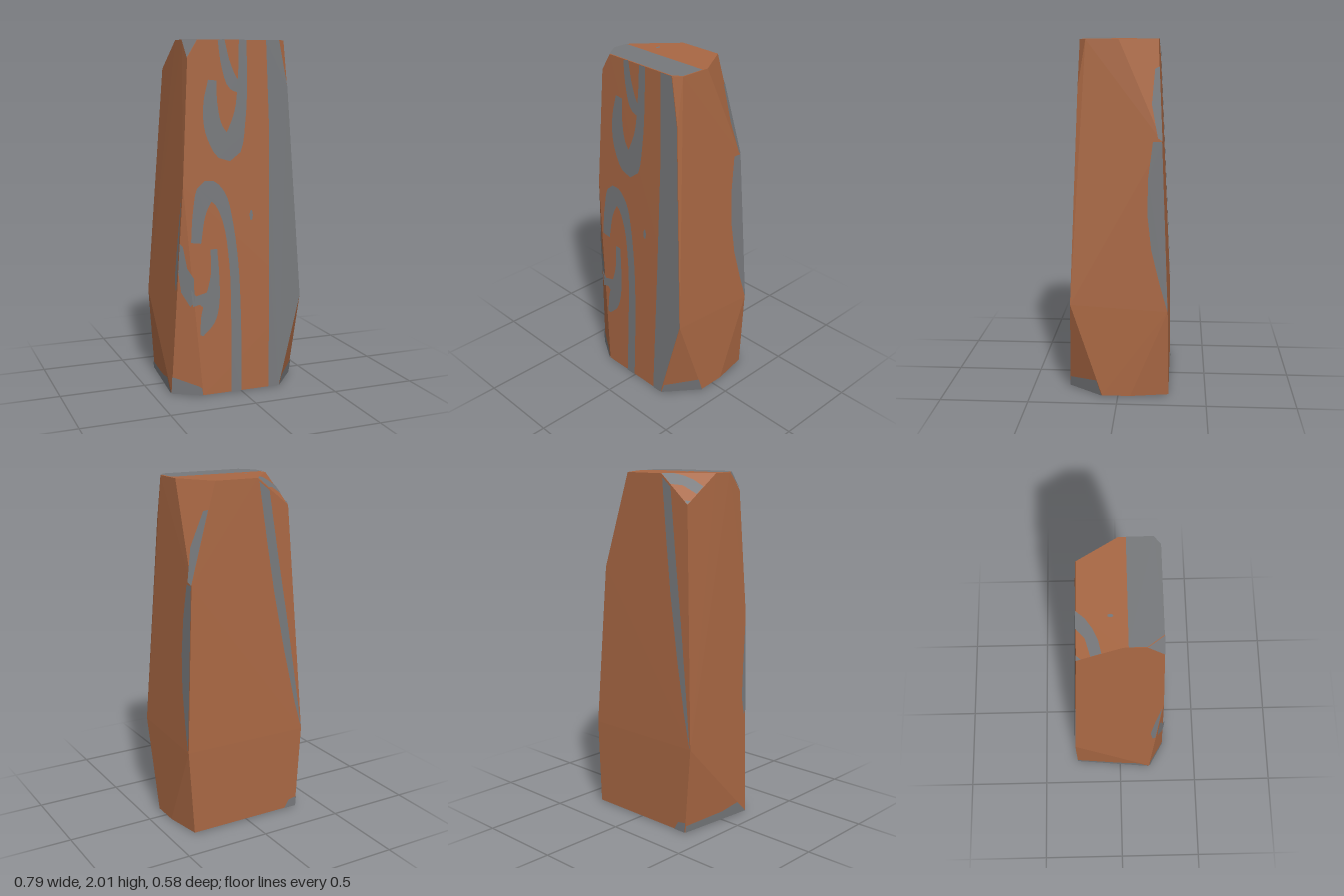
import * as THREE from 'three';
import { ConvexGeometry } from 'three/addons/geometries/ConvexGeometry.js';

const V = (p) => new THREE.Vector3(...p);

// Corner points of the chipped block
const frontZ = (y) => 0.288 - 0.0365 * y;
const P = {
  // top rim
  t1: [-0.1, 2, -0.213], t2: [0.165, 2, -0.213], t3: [0.295, 2, 0], t4: [0.295, 2, 0.18],
  t5: [0.25, 2, 0.215], t6: [-0.235, 2, 0.215], t7: [-0.297, 2, 0.13], t8: [-0.297, 2, 0.015],
  // chipped corners along the four upright edges
  backLeftHigh: [-0.3, 1.84, -0.22], backLeftLow: [-0.385, 0.5, -0.283],
  backRightHigh: [0.33, 1.45, -0.24], backRightLow: [0.38, 0.5, -0.28],
  frontRightHigh: [0.3, 1.74, frontZ(1.74)], frontRightLow: [0.375, 0.53, 0.27],
  frontLeftHigh: [-0.297, 1.9, frontZ(1.9)], frontLeftLow: [-0.335, 1.2, frontZ(1.2)],
  // bottom rim
  b1: [-0.35, 0, -0.288], b2: [0.35, 0, -0.288], b3: [0.39, 0, -0.07], b4: [0.39, 0, 0.09],
  b5: [0.235, 0, 0.288], b6: [-0.235, 0, 0.288], b7: [-0.395, 0, 0.195],
};

// Thin flat patch: the outline gives two coordinates, the third lies on plane abc.
// drop = axis (0 x, 1 y, 2 z) that is solved for.
function patch(outline, drop, a, b, c) {
  const plane = new THREE.Plane().setFromCoplanarPoints(V(a), V(b), V(c));
  if (plane.distanceToPoint(new THREE.Vector3(0, 1, 0)) > 0) plane.negate();
  const n = plane.normal.toArray();
  const [i, j] = [0, 1, 2].filter((k) => k !== drop);
  const pts = outline.map(([u, v]) => {
    const p = [0, 0, 0];
    p[i] = u;
    p[j] = v;
    p[drop] = -(plane.constant + n[i] * u + n[j] * v) / n[drop];
    return V(p).addScaledVector(plane.normal, 0.004);
  });
  const flat = outline.map(([u, v]) => new THREE.Vector2(u, v));
  const verts = [];
  for (const f of THREE.ShapeUtils.triangulateShape(flat, [])) {
    const [p, q, r] = f.map((k) => pts[k]);
    const facing = new THREE.Vector3().crossVectors(q.clone().sub(p), r.clone().sub(p)).dot(plane.normal);
    for (const s of facing > 0 ? [p, q, r] : [p, r, q]) verts.push(s.x, s.y, s.z);
  }
  const g = new THREE.BufferGeometry();
  g.setAttribute('position', new THREE.Float32BufferAttribute(verts, 3));
  g.computeVertexNormals();
  return g;
}

// Outline of a brush stroke through [x, y, width] points
function stroke(points, steps = 28) {
  const curve = new THREE.CatmullRomCurve3(points.map(V));
  const left = [], right = [];
  for (let k = 0; k <= steps; k++) {
    const p = curve.getPoint(k / steps), t = curve.getTangent(k / steps);
    const h = p.z / 2 / Math.hypot(t.x, t.y);
    left.push([p.x - t.y * h, p.y + t.x * h]);
    right.unshift([p.x + t.y * h, p.y - t.x * h]);
  }
  return left.concat(right);
}

const disc = (x, y, rx, ry) => Array.from({ length: 12 }, (_, k) => {
  const a = (k / 12) * Math.PI * 2;
  return [x + rx * Math.cos(a), y + ry * Math.sin(a)];
});

export function createModel() {
  const group = new THREE.Group();
  group.name = 'standingStone';
  const clay = new THREE.MeshStandardMaterial({ name: 'clay brown', color: 0xa86743 });
  const grey = new THREE.MeshStandardMaterial({ name: 'stone grey', color: 0x76787b });
  const add = (name, geometry, material = grey) => {
    const m = new THREE.Mesh(geometry, material);
    m.name = name;
    group.add(m);
  };

  // Faceted body
  add('body', new ConvexGeometry(Object.values(P).map(V)), clay);

  // Front face markings
  const front = (name, outline) => add(name, patch(outline, 2, P.t5, P.t6, P.b5));
  front('frontBand', [[0.17, 0], [0.235, 0], [0.374, 0.53], [0.3, 1.74], [0.25, 2], [0.17, 2], [0.185, 1.5], [0.18, 0.8]]);
  front('upperHook', stroke([[0.028, 2, 0.045], [0.025, 1.8, 0.055], [0.005, 1.58, 0.075], [-0.065, 1.4, 0.14],
    [-0.145, 1.5, 0.11], [-0.168, 1.64, 0.085], [-0.155, 1.78, 0.05]]));
  front('upperSpur', stroke([[-0.1, 2, 0.04], [-0.075, 1.87, 0.055], [-0.03, 1.76, 0.07], [0.01, 1.74, 0.06]], 10));
  front('longCurl', stroke([[-0.033, 0, 0.065], [-0.03, 0.45, 0.06], [-0.04, 0.75, 0.055], [-0.075, 1, 0.06],
    [-0.125, 1.13, 0.09], [-0.19, 1.17, 0.12], [-0.24, 1.06, 0.08], [-0.265, 0.88, 0.06]]));
  front('innerCurl', stroke([[-0.16, 0.84, 0.04], [-0.155, 0.7, 0.05], [-0.175, 0.54, 0.09], [-0.2, 0.44, 0.09], [-0.24, 0.35, 0.02]]));
  front('curlLink', [[-0.3, 0.62], [-0.27, 0.58], [-0.19, 0.6], [-0.19, 0.48], [-0.25, 0.53], [-0.29, 0.52]]);
  front('speck', disc(0.07, 1.02, 0.01, 0.03));

  // Chipped facets at the front corners
  const leftChip = [P.b6, P.b7, P.frontLeftLow];
  add('leftChipFoot', patch([[-0.235, 0], [-0.395, 0], [-0.391, 0.1], [-0.25, 0.05], [-0.24, 0.04]], 2, ...leftChip));
  add('leftChipBlot', patch([[-0.351, 0.88], [-0.335, 0.86], [-0.315, 0.74], [-0.28, 0.68], [-0.28, 0.54], [-0.3, 0.52],
    [-0.345, 0.6], [-0.359, 0.72]], 2, ...leftChip));
  add('rightChipFoot', patch([[0.235, 0], [0.39, 0], [0.388, 0.09], [0.255, 0.06]], 2, P.b5, P.b4, P.frontRightLow));
  add('topLeftChip', patch([P.t6, P.t7, P.frontLeftHigh].map(([x, , z]) => [x, z]), 1, P.t6, P.t7, P.frontLeftHigh));

  // Top face band
  add('topBand', patch([[-0.297, 0.04], [0.295, 0.04], [0.295, 0.18], [0.25, 0.215], [-0.235, 0.215], [-0.297, 0.13]],
    1, P.t4, P.t5, P.t6));
  add('topSpeck', patch(disc(-0.13, -0.045, 0.008, 0.015), 1, P.t4, P.t5, P.t6));

  // Back left corner facet and the streak running on down the back
  const corner = [P.t1, P.t8, P.backLeftHigh];
  add('cornerStreak', patch([[-0.297, -0.09], [-0.298, -0.145], [-0.22, -0.17], [-0.17, -0.216], [-0.1, -0.213],
    [-0.14, -0.167], [-0.19, -0.13], [-0.24, -0.105]], 1, ...corner));
  add('cornerTip', patch([[-0.3, -0.22], [-0.275, -0.219], [-0.3, -0.195]], 1, ...corner));
  const back = [P.backLeftHigh, P.backLeftLow, P.backRightHigh];
  add('backStreak', patch([[-0.11, 1.98], [-0.175, 1.93], [-0.23, 1.55], [-0.285, 1.2], [-0.335, 0.85], [-0.383, 0.5],
    [-0.33, 0.7], [-0.265, 1], [-0.2, 1.35], [-0.155, 1.65]], 2, ...back));
  add('backFoot', patch([[-0.35, 0], [-0.27, 0], [-0.3, 0.05], [-0.355, 0.06]], 2, P.b1, P.b2, P.backLeftLow));

  // Right side streak along the back edge
  add('rightStreak', patch([[1.45, -0.24], [1.45, -0.19], [1.25, -0.165], [1.05, -0.162], [0.85, -0.185], [0.65, -0.235],
    [0.5, -0.279], [1, -0.259]], 0, P.backRightHigh, P.backRightLow, P.frontRightLow));
  add('rightChipStreak', patch([[1.45, -0.24], [1.85, -0.219], [1.84, -0.195], [1.65, -0.18], [1.47, -0.215]],
    0, P.t3, P.t2, P.backRightHigh));

  // Left side markings
  add('leftBlot', patch([[1.15, 0.236], [0.9, 0.205], [0.7, 0.185], [0.6, 0.2], [0.62, 0.217]], 0,
    P.frontLeftLow, P.b7, P.backLeftLow));
  add('leftFoot', patch([[0, -0.288], [0.04, -0.285], [0.05, 0], [0.075, 0.12], [0, 0.194]], 0, P.b1, P.b7, P.backLeftLow));

  // Underside markings
  const under = [P.b1, P.b2, P.b5];
  const base = new THREE.Group();
  base.name = 'underside';
  for (const o of [[[-0.35, -0.288], [0.35, -0.288], [0.388, -0.08], [-0.368, -0.1]], disc(-0.12, 0.22, 0.08, 0.055)]) {
    const m = new THREE.Mesh(patch(o, 1, ...under), grey);
    m.name = 'undersideMark';
    base.add(m);
  }
  group.add(base);
  group.children.forEach((c) => { c.position.y = 0; });
  return group;
}
